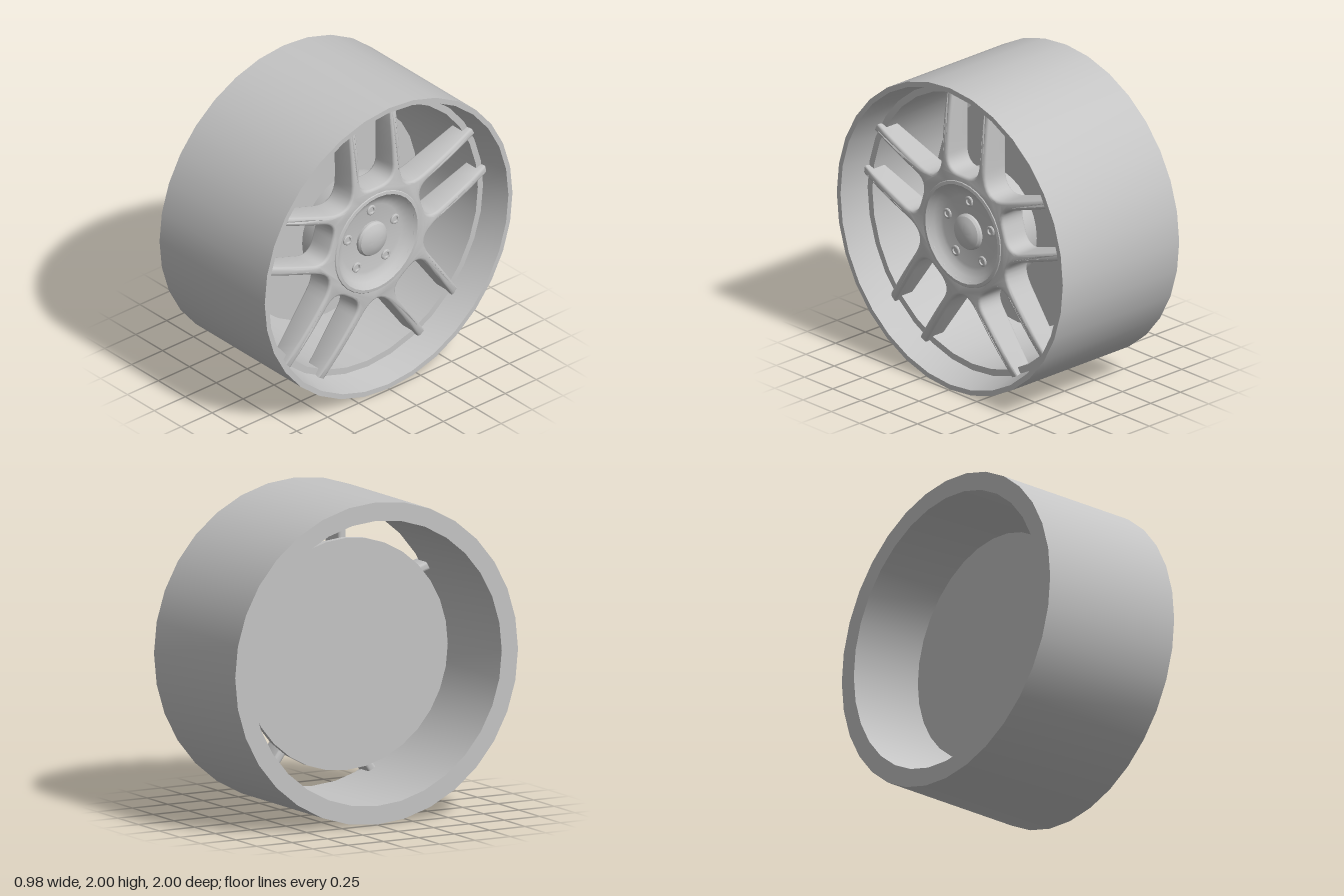
import * as THREE from 'three';
import { toCreasedNormals } from 'three/addons/utils/BufferGeometryUtils.js';

const metal = new THREE.MeshStandardMaterial({ color: 0xc4c4c4 });
metal.name = 'wheelGrey';

// Lathe around the x axis; each point is [radius, x]
function turned(points, segments = 32) {
  const geo = new THREE.LatheGeometry(points.map(([r, x]) => new THREE.Vector2(r, x)), segments);
  geo.rotateZ(-Math.PI / 2);
  return toCreasedNormals(geo, 0.5);
}

// Star outline: five pairs of parallel bars around an open centre
function spokeShape() {
  const shape = new THREE.Shape();
  const outer = 0.193, inner = 0.137, tip = 0.93, foot = 0.465, pocket = 0.385;
  const steps = 5;
  for (let k = 0; k < 5; k++) {
    const t = Math.PI / 2 + (k * 2 * Math.PI) / 5;
    const c = Math.cos(t), s = Math.sin(t);
    const at = (a, l) => [a * c - l * s, a * s + l * c];
    const edge = (from, to, l) => {
      for (let i = 1; i <= steps; i++) shape.lineTo(...at(from + ((to - from) * i) / steps, l));
    };
    if (k === 0) shape.moveTo(...at(foot, -outer));
    edge(foot, tip, -outer);
    shape.lineTo(...at(tip, -inner));
    edge(tip, 0.49, -inner);
    // rounded pocket between the two bars
    shape.quadraticCurveTo(...at(pocket, -inner), ...at(pocket, -0.03));
    shape.lineTo(...at(pocket, 0.03));
    shape.quadraticCurveTo(...at(pocket, inner), ...at(0.49, inner));
    edge(0.49, tip, inner);
    shape.lineTo(...at(tip, outer));
    edge(tip, foot, outer);
    // fillet to the next pair
    const n = t + (2 * Math.PI) / 5;
    const end = [foot * Math.cos(n) + outer * Math.sin(n), foot * Math.sin(n) - outer * Math.cos(n)];
    shape.quadraticCurveTo(...at(outer / Math.tan(Math.PI / 5), outer), ...end);
  }
  const hole = new THREE.Path();
  hole.absarc(0, 0, 0.31, 0, Math.PI * 2, true);
  shape.holes.push(hole);
  return shape;
}

function spokeGeometry() {
  const bevel = 0.018, depth = 0.19;
  const geo = new THREE.ExtrudeGeometry(spokeShape(), {
    depth: depth - 2 * bevel, bevelEnabled: true, bevelSize: bevel, bevelThickness: bevel,
    bevelOffset: -bevel, bevelSegments: 3, curveSegments: 8,
  });
  // bow the front of the bars back towards the rim
  const p = geo.attributes.position;
  for (let i = 0; i < p.count; i++) {
    const r = Math.hypot(p.getX(i), p.getY(i));
    const front = 0.385 - 0.05 * Math.pow(Math.max(0, r - 0.35) / 0.57, 2);
    const back = 0.2;
    p.setZ(i, back + ((p.getZ(i) + bevel) / depth) * (front - back));
  }
  geo.rotateY(Math.PI / 2);
  return toCreasedNormals(geo, 0.6);
}

export function createModel() {
  const model = new THREE.Group();
  const wheel = new THREE.Group();
  wheel.name = 'wheel';
  wheel.position.y = 1;
  model.add(wheel);
  const add = (name, geo) => {
    const mesh = new THREE.Mesh(geo, metal);
    mesh.name = name;
    wheel.add(mesh);
    return mesh;
  };

  // Barrel with thin lip and inner flange
  add('rim', turned([
    [0.885, -0.49], [1, -0.49], [1, 0.49], [0.967, 0.49],
    [0.927, 0.3], [0.885, 0.3], [0.885, -0.49],
  ]));

  add('spokes', spokeGeometry());

  // Hub with dished face
  add('hub', turned([
    [0, 0.1], [0.36, 0.1], [0.375, 0.2], [0.36, 0.365], [0.34, 0.39], [0.32, 0.392],
    [0.288, 0.35], [0.25, 0.33], [0.23, 0.325], [0, 0.325],
  ]));

  // Domed centre cap
  add('centreCap', turned([
    [0, 0.31], [0.115, 0.31], [0.115, 0.34], [0.105, 0.355], [0.075, 0.37], [0.04, 0.378], [0, 0.38],
  ]));

  // Hollow lug nuts
  const lug = turned([
    [0, 0.315], [0.034, 0.315], [0.034, 0.332], [0.028, 0.336], [0.02, 0.336], [0.017, 0.327], [0, 0.327],
  ], 16);
  for (let k = 0; k < 5; k++) {
    const t = Math.PI / 2 + (k * 2 * Math.PI) / 5;
    add('lugNut', lug).position.set(0, 0.2 * Math.sin(t), 0.2 * Math.cos(t));
  }

  // Brake disc behind the spokes
  add('brakeDisc', turned([[0, -0.12], [0.72, -0.12], [0.72, -0.08], [0, -0.08]]));

  return model;
}
